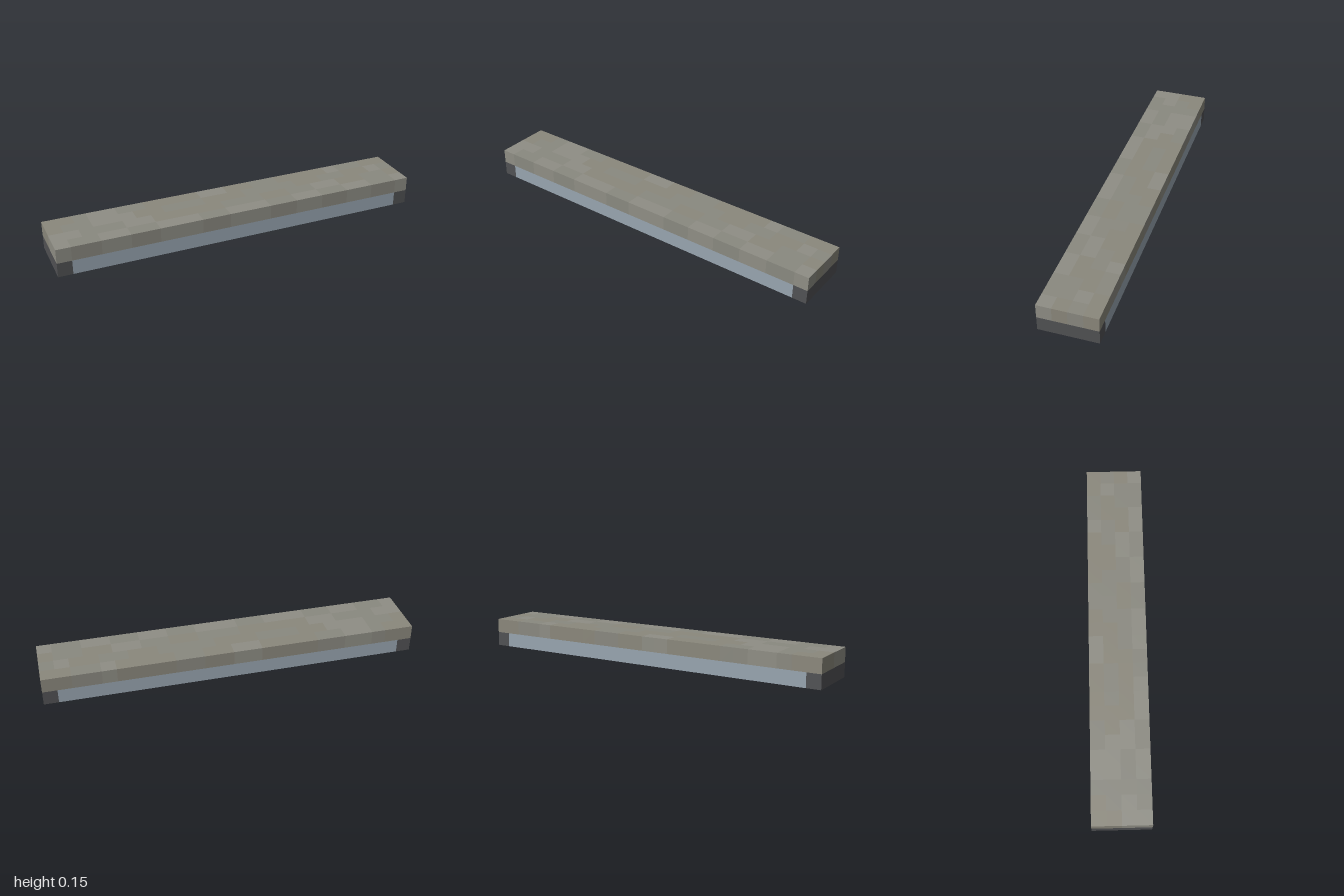
import * as THREE from 'three';

const U = 1 / 13; // one block unit: the model is 26 x 2 x 4 units

// Stone shade of each top block, one string per row from back to front
const SHADES = [0x8f8e85, 0x8a8980, 0x8b887c];
const ROWS = [
  '22100112222002211222201122',
  '21100022111222111122112201',
  '00111002222211122110022112',
  '01100110001100011001100110',
];

function block(name, w, h, d, x, y, z, color) {
  const mesh = new THREE.Mesh(
    new THREE.BoxGeometry(w * U, h * U, d * U),
    new THREE.MeshStandardMaterial({ color, flatShading: true })
  );
  mesh.name = name;
  mesh.position.set(x * U, y * U, z * U);
  return mesh;
}

// Slab split into grid squares; each shade keeps only its own squares
function slab() {
  const group = new THREE.Group();
  group.name = 'stoneSlab';
  const box = new THREE.BoxGeometry(26 * U, U, 4 * U, 26, 1, 4);
  const pos = box.attributes.position;
  const lists = SHADES.map(() => []);
  for (let i = 0; i < box.index.count; i += 6) {
    const quad = Array.from(box.index.array.slice(i, i + 6));
    const mean = (axis) => quad.reduce((s, v) => s + pos.getComponent(v, axis), 0) / 6 / U;
    const col = THREE.MathUtils.clamp(Math.floor(mean(0) + 13), 0, 25);
    const row = THREE.MathUtils.clamp(Math.floor(mean(2) + 2), 0, 3);
    lists[+ROWS[row][col]].push(...quad);
  }
  lists.forEach((list, k) => {
    const geometry = box.clone().setIndex(list).toNonIndexed();
    const mesh = new THREE.Mesh(
      geometry,
      new THREE.MeshStandardMaterial({ color: SHADES[k], flatShading: true })
    );
    mesh.name = 'stoneShade' + (k + 1);
    group.add(mesh);
  });
  group.position.y = 1.5 * U;
  return group;
}

export function createModel() {
  const model = new THREE.Group();
  model.name = 'slabOnFrame';
  model.add(slab());

  // Hollow supporting frame: dark end blocks and blue-grey long rails
  for (const s of [-1, 1]) {
    model.add(block(s > 0 ? 'leftEnd' : 'rightEnd', 1, 1, 4, s * 12.5, 0.5, 0, 0x515254));
    model.add(block(s > 0 ? 'frontRail' : 'backRail', 24, 1, 1, 0, 0.5, s * 1.5, 0x98a5b0));
  }
  return model;
}
